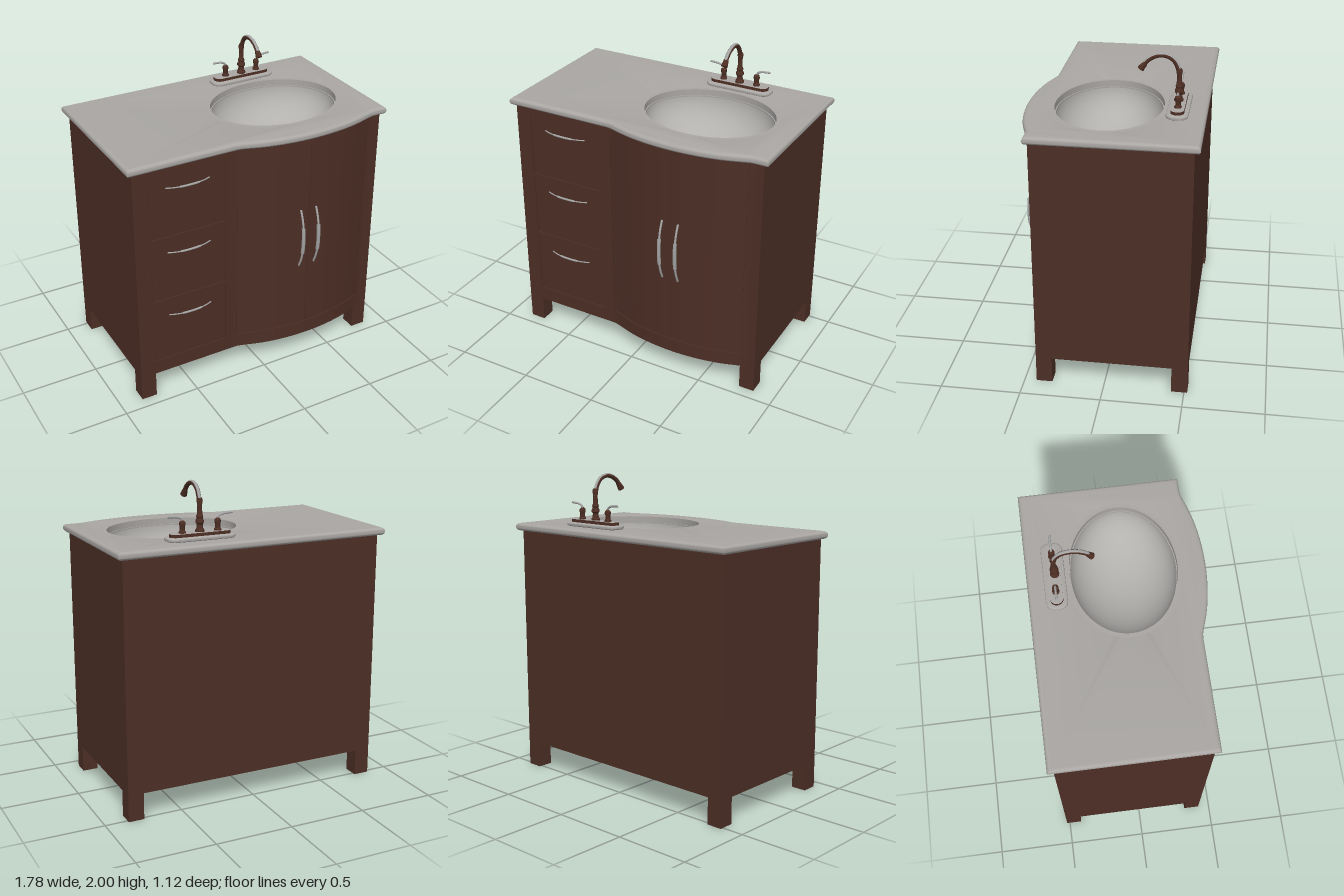
import * as THREE from 'three';
import { toCreasedNormals } from 'three/addons/utils/BufferGeometryUtils.js';

const mat = (name, color, side = THREE.FrontSide) => {
  const m = new THREE.MeshStandardMaterial({ color, side });
  m.name = name;
  return m;
};

export function createModel() {
  const wood = mat('dark wood', 0x4c2e25);
  const stone = mat('grey stone', 0xa9a6a3);
  const basin = mat('basin', 0xb3b1ae, THREE.DoubleSide);
  const metal = mat('brushed metal', 0xa3a4a3);
  const bronze = mat('bronze', 0x4e2f24);

  const root = new THREE.Group();
  root.name = 'vanity';
  const add = (name, geo, material, x = 0, y = 0, z = 0, parent = root) => {
    const m = new THREE.Mesh(geo, material);
    m.name = name;
    m.position.set(x, y, z);
    parent.add(m);
    return m;
  };
  const box = (name, x0, x1, y0, y1, z0, z1) =>
    add(name, new THREE.BoxGeometry(x1 - x0, y1 - y0, z1 - z0), wood, (x0 + x1) / 2, (y0 + y1) / 2, (z0 + z1) / 2);

  // Bowed front line: flat, with a soft bulge centred on the sink
  const CX = 0.31;
  const bulge = (x) => {
    const u = Math.min(1, Math.abs(x - CX) / 0.49);
    return 0.086 * (1 - u * u) * (1 - u ** 8);
  };
  const frontLine = (x0, x1, z) => {
    const pts = [];
    const n = Math.max(2, Math.ceil((x1 - x0) / 0.03));
    for (let i = 0; i <= n; i++) {
      const x = x0 + (x1 - x0) * i / n;
      pts.push(new THREE.Vector2(x, -(z + bulge(x))));
    }
    return pts;
  };
  // Extrude a plan drawn as (x, -z) upwards
  const rise = (shape, depth, opts = {}) => {
    const g = new THREE.ExtrudeGeometry(shape, { depth, bevelEnabled: false, curveSegments: 48, ...opts });
    g.rotateX(-Math.PI / 2);
    return toCreasedNormals(g, 0.6);
  };
  // Board that follows the bowed front
  const FZ = 0.425;
  const board = (name, x0, x1, y0, y1, inset = 0, thick = 0.016) => {
    const pts = [...frontLine(x0, x1, FZ - inset), ...frontLine(x0, x1, FZ - inset - thick).reverse()];
    add(name, rise(new THREE.Shape(pts), y1 - y0), wood, 0, y0, 0);
  };
  const plan = (w, back, front) => new THREE.Shape([
    ...frontLine(-w, w, front), new THREE.Vector2(w, -back), new THREE.Vector2(-w, -back)]);

  // Cabinet carcass
  const W = 0.855, Y0 = 0.17, Y1 = 1.62;
  for (const s of [-1, 1]) {
    const a = s < 0 ? -W : W - 0.03;
    box('sidePanel', a, a + 0.03, Y0, Y1, -0.52, 0.395);
    const l = s < 0 ? -W : W - 0.1;
    box('backLeg', l, l + 0.1, 0, Y0, -0.52, -0.42);
    box('frontLeg', l, l + 0.1, 0, Y0, 0.325, FZ);
  }
  box('backPanel', -W + 0.03, W - 0.03, Y0, Y1, -0.52, -0.49);
  add('floor', rise(plan(W - 0.03, -0.49, 0.394), 0.02), wood, 0, Y0, 0);
  board('frontBacking', -W, W, Y0, Y1, 0.016, 0.014);

  // Face frame
  board('bottomRail', -W, W, Y0, 0.265);
  board('topRail', -W, W, 1.57, Y1);
  board('leftStile', 0.76, W, 0.265, 1.57);
  board('middleStile', -0.25, -0.17, 0.265, 1.57);
  board('rightStile', -W, -0.755, 0.265, 1.57);
  board('drawerRail', -0.755, -0.25, 1.13, 1.15);
  board('drawerRail', -0.755, -0.25, 0.69, 0.71);

  // Drawers and doors, set back a little with narrow gaps
  const g = 0.003;
  for (const [a, b] of [[0.265, 0.69], [0.71, 1.13], [1.15, 1.57]])
    board('drawer', -0.755 + g, -0.25 - g, a + g, b - g, 0.004, 0.012);
  board('door', -0.17 + g, 0.297, 0.265 + g, 1.57 - g, 0.004, 0.012);
  board('door', 0.3, 0.76 - g, 0.265 + g, 1.57 - g, 0.004, 0.012);

  // Bowed pulls with a thicker grip
  const pull = (name, len, bow, r, x, y, z, turned) => {
    const grp = new THREE.Group();
    grp.name = name;
    const arc = (h) => new THREE.CatmullRomCurve3(Array.from({ length: 9 }, (_, i) => {
      const t = (i / 4 - 1) * h;
      return new THREE.Vector3(0, t * len / 2, bow * (1 - Math.abs(t) ** 2.4));
    }));
    add('pullBar', new THREE.TubeGeometry(arc(1), 24, r, 8), metal, 0, 0, 0, grp);
    add('pullGrip', new THREE.TubeGeometry(arc(0.45), 12, r * 1.7, 8), metal, 0, 0, 0, grp);
    grp.position.set(x, y, z);
    if (turned) grp.rotation.z = Math.PI / 2;
    root.add(grp);
  };
  for (const y of [0.587, 1.04, 1.48]) pull('drawerPull', 0.29, 0.028, 0.004, -0.5, y, FZ - 0.003, true);
  for (const x of [0.24, 0.35]) pull('doorPull', 0.41, 0.043, 0.007, x, 0.925, FZ + bulge(x) - 0.003, false);

  // Countertop with rounded edge and oval opening
  const SZ = 0.035, RX = 0.42, RZ = 0.33, R = 0.025;
  const oval = (C, grow) => {
    const p = new C();
    p.absellipse(CX, -SZ, RX + grow, RZ + grow, 0, Math.PI * 2, false, 0);
    return p;
  };
  const top = plan(0.89 - R, -0.555 + R, 0.45 - R);
  top.holes.push(oval(THREE.Path, R));
  add('countertop', rise(top, 0.002, { bevelEnabled: true, bevelSize: R, bevelThickness: 0.024, bevelSegments: 5 }),
    stone, 0, 1.639, 0);
  const lip = oval(THREE.Shape, R + 0.001);
  lip.holes.push(oval(THREE.Path, -0.001));
  add('sinkLip', rise(lip, 0.05), stone, 0, 1.615, 0);

  // Sink bowl
  const bowlPts = [];
  for (let i = 0; i <= 20; i++) {
    const a = i / 20 * Math.PI / 2;
    bowlPts.push(new THREE.Vector2(Math.sin(a), -Math.cos(a)));
  }
  const bowl = new THREE.LatheGeometry(bowlPts, 64);
  bowl.scale(RX - 0.005, 0.26, RZ - 0.005);
  add('sinkBowl', bowl, basin, CX, 1.625, SZ);
  const rim = oval(THREE.Shape, 0.01);
  rim.holes.push(oval(THREE.Path, -0.008));
  add('bowlRim', rise(rim, 0.008), stone, 0, 1.617, 0);

  // Faucet
  const faucet = new THREE.Group();
  faucet.name = 'faucet';
  faucet.position.set(CX, 1.665, -0.385);
  root.add(faucet);
  const pill = (hw, hd, r) => {
    const s = new THREE.Shape();
    s.absarc(hw - r, hd - r, r, 0, Math.PI / 2);
    s.absarc(-hw + r, hd - r, r, Math.PI / 2, Math.PI);
    s.absarc(-hw + r, -hd + r, r, Math.PI, Math.PI * 1.5);
    s.absarc(hw - r, -hd + r, r, Math.PI * 1.5, Math.PI * 2);
    return s;
  };
  add('faucetBase', rise(pill(0.205, 0.05, 0.035), 0.006,
    { curveSegments: 10, bevelEnabled: true, bevelSize: 0.016, bevelThickness: 0.01, bevelSegments: 3 }),
    stone, 0, 0.01, 0, faucet);
  add('faucetPlate', rise(pill(0.197, 0.04, 0.039), 0.02, { curveSegments: 12 }), [stone, bronze], 0, 0.025, 0, faucet);

  const lathe = (pts) => toCreasedNormals(new THREE.LatheGeometry(pts.map(([r, y]) => new THREE.Vector2(r, y)), 20), 0.6);
  add('spoutColumn', lathe([[0, 0.045], [0.028, 0.045], [0.028, 0.055], [0.02, 0.065], [0.018, 0.09], [0.026, 0.1],
    [0.026, 0.11], [0.018, 0.125], [0.022, 0.135], [0.016, 0.15], [0.014, 0.2], [0.019, 0.23], [0.014, 0.245], [0, 0.245]]),
    bronze, 0, 0, 0.005, faucet);

  // Gooseneck, with a bright band along its outer side
  const neck = [[0.005, 0.2], [0.018, 0.255], [0.048, 0.3], [0.095, 0.32], [0.145, 0.315], [0.195, 0.285], [0.225, 0.245]];
  const neckCurve = (k) => new THREE.CatmullRomCurve3(neck.map(([z, y], i) => {
    const a = neck[Math.max(0, i - 1)], b = neck[Math.min(neck.length - 1, i + 1)];
    const dz = b[0] - a[0], dy = b[1] - a[1], l = Math.hypot(dz, dy);
    return new THREE.Vector3(0, y + k * dz / l, z - k * dy / l);
  }));
  add('spout', new THREE.TubeGeometry(neckCurve(0), 40, 0.014, 12), bronze, 0, 0, 0, faucet);
  add('spoutBand', new THREE.TubeGeometry(neckCurve(0.004), 40, 0.0115, 12), metal, 0, 0, 0, faucet);
  const tip = add('spoutTip', new THREE.CylinderGeometry(0.015, 0.021, 0.045, 16), bronze, 0, 0.25, 0.222, faucet);
  tip.rotation.x = -0.64;

  // Handles, mirrored about the spout
  for (const s of [-1, 1]) {
    add('handlePost', lathe([[0, 0.045], [0.022, 0.045], [0.022, 0.053], [0.016, 0.06], [0.016, 0.085], [0.02, 0.095],
      [0.018, 0.11], [0.008, 0.12], [0, 0.12]]), bronze, s * 0.115, 0, 0, faucet);
    const lever = new THREE.CatmullRomCurve3([[0.115, 0.11], [0.122, 0.13], [0.15, 0.142], [0.18, 0.145], [0.21, 0.147]]
      .map(([x, y]) => new THREE.Vector3(s * x, y, 0)));
    add('handleLever', new THREE.TubeGeometry(lever, 16, 0.007, 8), metal, 0, 0, 0, faucet);
  }
  return root;
}
